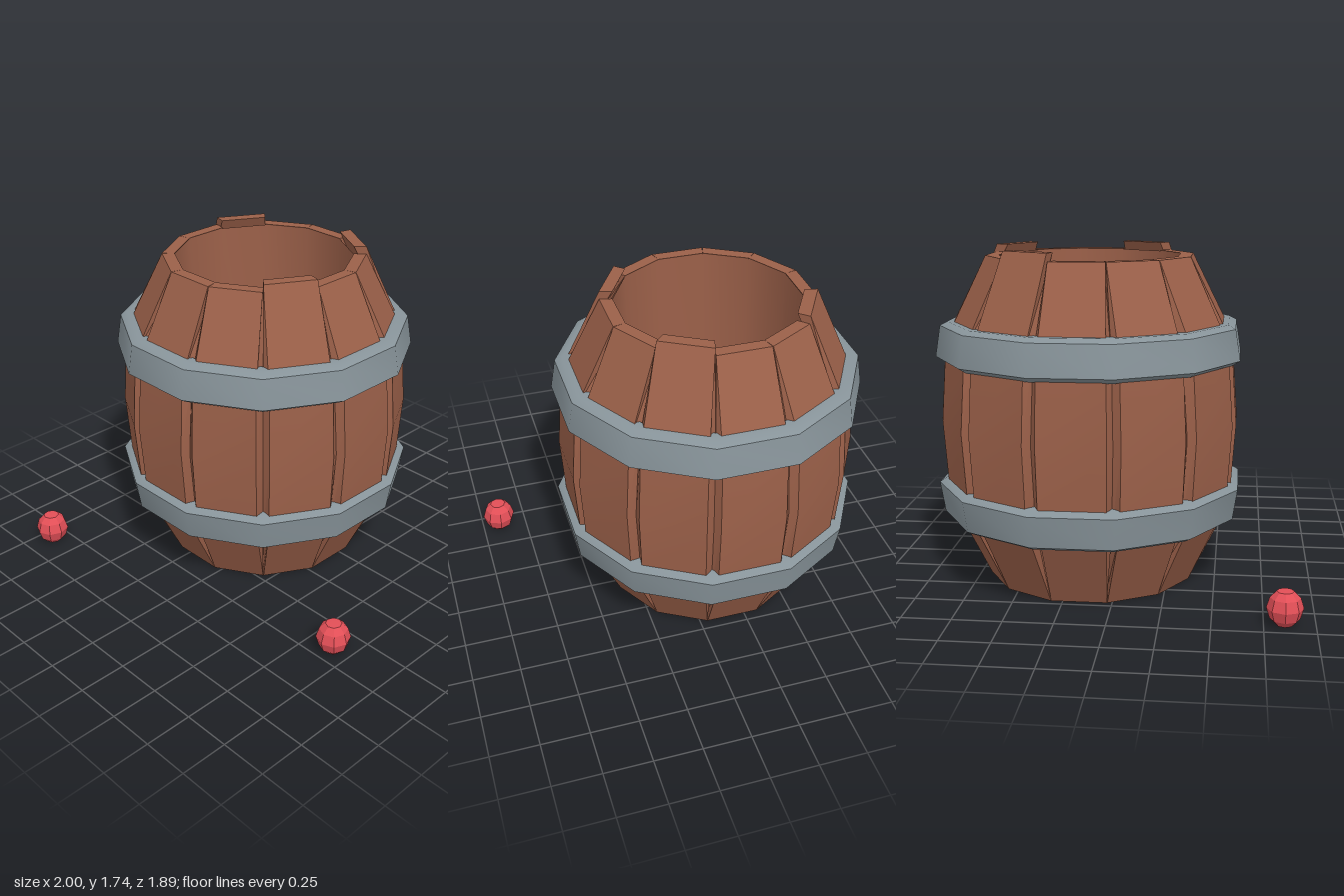
import * as THREE from 'three';
import { toCreasedNormals } from 'three/addons/utils/BufferGeometryUtils.js';

const COS15 = Math.cos(Math.PI / 12);
const TAN15 = Math.tan(Math.PI / 12);

function makeMaterial(name, color) {
  const m = new THREE.MeshStandardMaterial({ color });
  m.name = name;
  return m;
}

// Twelve-sided lathe, smooth around; radii are measured to the flats
function lathe12(profile) {
  const pts = profile.map(([r, y]) => new THREE.Vector2(r / COS15, y));
  return toCreasedNormals(new THREE.LatheGeometry(pts, 12, Math.PI / 12), 0.6);
}

// One bowed plank: outer face narrower than the joint, leaving a shallow V groove
function staveGeometry(top) {
  // outer radius, height, half width, inner radius
  const profile = [
    [0.53, 0, 0.141, 0.46], [0.738, 0.43, 0.165, 0.69], [0.767, 0.85, 0.17, 0.73],
    [0.738, 1.27, 0.165, 0.69], [0.525, top, 0.139, 0.46],
  ];
  const rings = profile.map(([r, y, w, inner]) => {
    const v = inner * TAN15;
    return [[-w, y, r], [w, y, r], [v, y, inner], [-v, y, inner]];
  });
  const pos = [];
  const quad = (a, b, c, d) => pos.push(...a, ...b, ...c, ...a, ...c, ...d);
  for (let i = 0; i < rings.length - 1; i++) {
    for (let j = 0; j < 4; j++) {
      const k = (j + 1) % 4;
      quad(rings[i][j], rings[i][k], rings[i + 1][k], rings[i + 1][j]);
    }
  }
  quad(...rings[rings.length - 1]);
  quad(...[...rings[0]].reverse());
  const g = new THREE.BufferGeometry();
  g.setAttribute('position', new THREE.Float32BufferAttribute(pos, 3));
  return toCreasedNormals(g, 0.3);
}

export function createModel() {
  const wood = makeMaterial('wood', 0x9b6049);
  const iron = makeMaterial('iron', 0x88949a);
  const red = makeMaterial('appleRed', 0xe24f57);
  const green = makeMaterial('appleGreen', 0x7cba38);
  const dark = makeMaterial('stem', 0x2c1c16);

  const model = new THREE.Group();
  model.name = 'appleBarrel';
  const barrel = new THREE.Group();
  barrel.name = 'barrel';
  barrel.position.set(-0.182, 0, -0.167);
  model.add(barrel);

  function add(parent, name, geometry, material, x = 0, y = 0, z = 0) {
    const mesh = new THREE.Mesh(geometry, material);
    mesh.name = name;
    mesh.position.set(x, y, z);
    parent.add(mesh);
    return mesh;
  }

  // Staves; three of them stand slightly taller
  const plain = staveGeometry(1.70), tall = staveGeometry(1.74);
  for (let k = 0; k < 12; k++) {
    const stave = add(barrel, 'stave', k % 3 === 2 && k < 9 ? tall : plain, wood);
    stave.rotation.y = k * Math.PI / 6;
  }

  // Nearly straight inner wall, facing inward
  add(barrel, 'innerWall', lathe12([[0.462, 1.695], [0.43, 0.1]]), wood);

  // Recessed floor
  const floor = add(barrel, 'floor', new THREE.CylinderGeometry(0.49, 0.49, 0.04, 12), wood, 0, 0.12, 0);
  floor.rotation.y = Math.PI / 12;

  // Iron hoops, the lower one mirrored
  const hoop = [
    [0.69, 1.155], [0.74, 1.158], [0.782, 1.185], [0.757, 1.345],
    [0.72, 1.365], [0.66, 1.365], [0.69, 1.155],
  ];
  add(barrel, 'upperHoop', lathe12(hoop), iron);
  add(barrel, 'lowerHoop', lathe12(hoop.map(([r, y]) => [r, 1.70 - y]).reverse()), iron);

  // Red filling under the loose fruit
  const level = 0.6;
  const filling = add(barrel, 'filling', new THREE.CylinderGeometry(0.46, 0.46, 0.02, 12), red, 0, level, 0);
  filling.rotation.y = Math.PI / 12;

  // Eight-sided faceted apple with flattened ends
  const half = [[0.042, 0.084], [0.074, 0.052], [0.09, 0]];
  const outline = [[0, -0.086], ...half.map(([r, y]) => [r, -y]), [0.074, 0.052], [0.042, 0.084], [0, 0.086]];
  const appleGeo = toCreasedNormals(
    new THREE.LatheGeometry(outline.map(([r, y]) => new THREE.Vector2(r, y)), 8), 0.2);
  const stemGeo = new THREE.CylinderGeometry(0.01, 0.01, 0.03, 5);

  // Apples: x, height, z, material, stem shown
  function apple(x, y, z, material, stem) {
    const g = new THREE.Group();
    g.name = 'apple';
    g.position.set(x, y, z);
    add(g, 'appleBody', appleGeo, material);
    if (stem) add(g, 'appleStem', stemGeo, dark, 0, 0.09, 0);
    model.add(g);
    return g;
  }
  const pile = [
    [-0.48, 0.08, -0.05, red, false], [-0.36, 0.10, -0.06, red, false],
    [-0.41, 0.12, 0.10, red, true], [-0.34, 0.19, 0.035, red, true],
    [-0.23, 0.22, -0.085, red, true], [-0.09, 0.08, -0.10, red, false],
    [-0.13, 0.16, 0.03, red, true], [-0.175, 0.19, 0.14, red, true],
    [-0.06, 0.10, 0.22, red, true], [-0.23, 0.16, -0.145, green, false],
    [-0.28, 0.20, 0.025, green, false], [-0.13, 0.12, 0.13, green, false],
  ];
  pile.forEach(([x, y, z, m, stem], i) => {
    apple(x, level + y, z, m, stem).rotation.y = i * 0.7;
  });

  // Fallen apples on the ground
  apple(-0.91, 0.09, 0.85, red, false);
  apple(0.905, 0.09, 0.41, red, false);

  return model;
}
